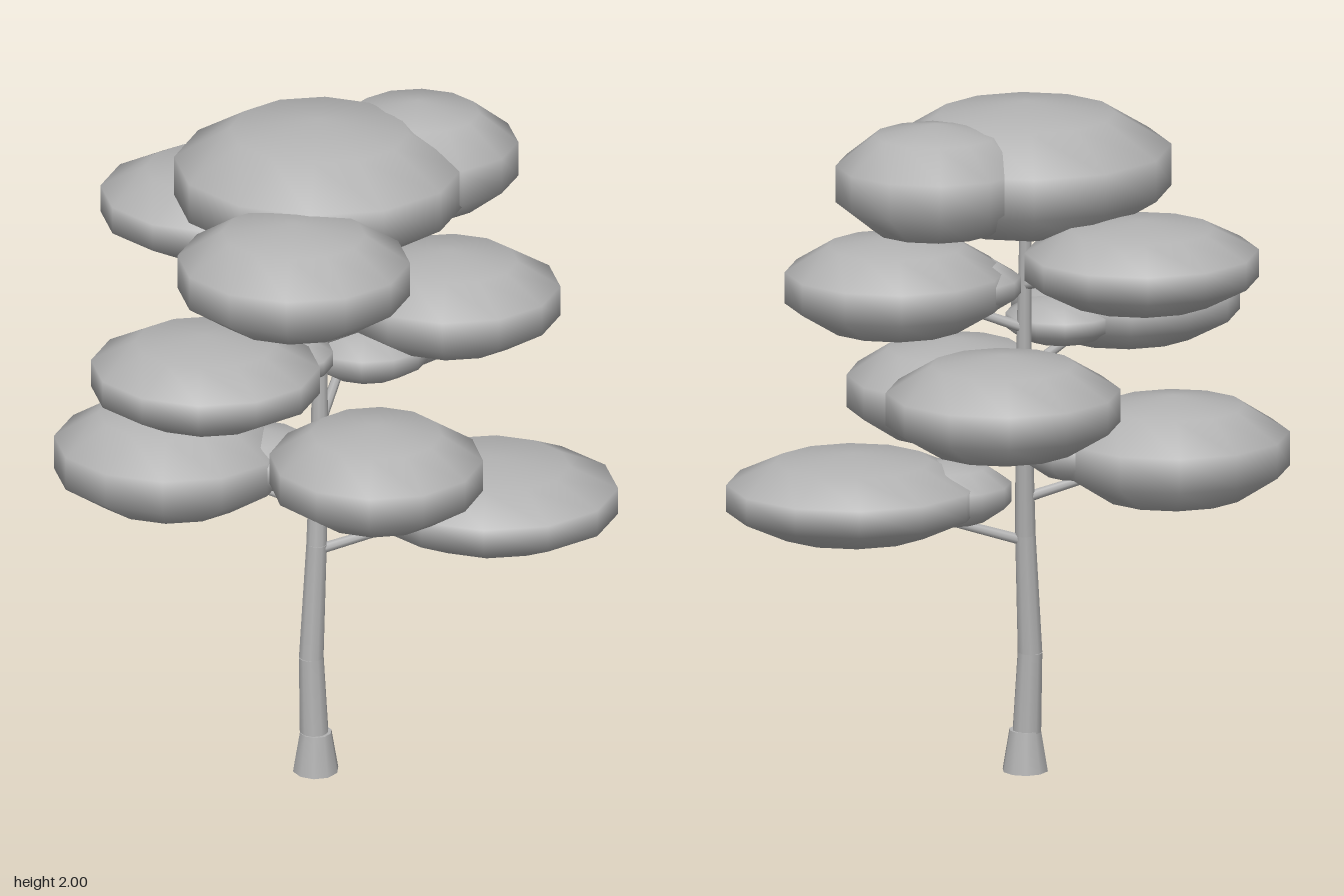
import * as THREE from 'three';

export function createModel() {
  const tree = new THREE.Group();
  tree.name = 'tree';
  const grey = new THREE.MeshStandardMaterial({ color: 0xb3b3b3 });
  grey.name = 'plain grey';

  const add = (name, geometry) => {
    const mesh = new THREE.Mesh(geometry, grey);
    mesh.name = name;
    tree.add(mesh);
    return mesh;
  };

  // Flattened leaf pad; the widest ring of the sphere lies at sin(72 deg)
  const ring = Math.sin(Math.PI * 0.4);
  const pad = (name, [x, y, z], [rx, ry, rz]) => {
    const g = new THREE.SphereGeometry(1, 12, 5);
    g.scale(rx / ring, ry, rz / ring);
    add(name, g).position.set(x, y, z);
  };

  // Tapered round limb between two points
  const limb = (name, a, b, r0, r1, sides) => {
    const d = b.clone().sub(a);
    const g = new THREE.CylinderGeometry(r1, r0, d.length(), sides);
    const mesh = add(name, g);
    mesh.position.copy(a).addScaledVector(d, 0.5);
    mesh.quaternion.setFromUnitVectors(new THREE.Vector3(0, 1, 0), d.normalize());
  };

  // Root flare
  const flare = new THREE.CylinderGeometry(0.046, 0.066, 0.12, 10);
  add('rootFlare', flare).position.set(-0.053, 0.06, 0.08);

  // Trunk: gently bending, tapering segments
  const trunk = [
    [-0.057, 0.1, 0.078, 0.042], [-0.066, 0.35, 0.072, 0.036],
    [-0.052, 0.7, 0.058, 0.03], [-0.046, 1.05, 0.028, 0.025],
    [-0.046, 1.35, 0.014, 0.021], [-0.05, 1.75, -0.01, 0.016],
  ];
  const trunkPoint = (y) => {
    let i = 0;
    while (i < trunk.length - 2 && trunk[i + 1][1] < y) i++;
    const [a, b] = [trunk[i], trunk[i + 1]];
    const t = (y - a[1]) / (b[1] - a[1]);
    return new THREE.Vector3(a[0] + (b[0] - a[0]) * t, y, a[2] + (b[2] - a[2]) * t);
  };
  for (let i = 0; i < trunk.length - 1; i++) {
    limb('trunk', trunkPoint(trunk[i][1]), trunkPoint(trunk[i + 1][1]), trunk[i][3], trunk[i + 1][3], 10);
  }

  // Crown
  pad('crown', [-0.05, 1.805, -0.022], [0.412, 0.195, 0.353]);
  pad('crownSide', [0.218, 1.812, -0.19], [0.284, 0.173, 0.233]);

  // Branches: pad centre, pad radii, branch start height, inner pad (optional)
  const branches = [
    { at: [0.44, 0.837, 0], r: [0.36, 0.128, 0.3], from: 0.68, inner: [[0.17, 0.837, 0.02], [0.18, 0.095, 0.15]] },
    { at: [-0.47, 0.948, 0.03], r: [0.33, 0.163, 0.275], from: 0.81, inner: [[-0.2, 0.955, 0.03], [0.16, 0.085, 0.14]] },
    { at: [0.137, 1.057, 0.315], r: [0.303, 0.152, 0.275], from: 0.91, inner: [[0.05, 1.05, 0.16], [0.15, 0.085, 0.13]] },
    { at: [0.04, 1.21, -0.412], r: [0.333, 0.155, 0.28], from: 1.06, inner: [[0.07, 1.21, -0.17], [0.18, 0.085, 0.15]] },
    { at: [-0.35, 1.328, 0.29], r: [0.325, 0.132, 0.275], from: 1.19, inner: [[-0.16, 1.315, 0.12], [0.16, 0.07, 0.14]] },
    { at: [0.32, 1.457, -0.01], r: [0.315, 0.148, 0.265], from: 1.32, inner: [[0.13, 1.455, -0.01], [0.165, 0.08, 0.14]] },
    { at: [-0.36, 1.59, -0.3], r: [0.332, 0.132, 0.28], from: 1.45, inner: [[-0.2, 1.56, -0.14], [0.16, 0.075, 0.14]] },
    { at: [-0.09, 1.715, 0.41], r: [0.33, 0.165, 0.28], from: 1.59 },
  ];
  for (const { at, r, from, inner } of branches) {
    limb('branch', trunkPoint(from), new THREE.Vector3(...at), 0.016, 0.01, 8);
    pad('leafPad', at, r);
    if (inner) pad('innerLeafPad', ...inner);
  }
  return tree;
}
